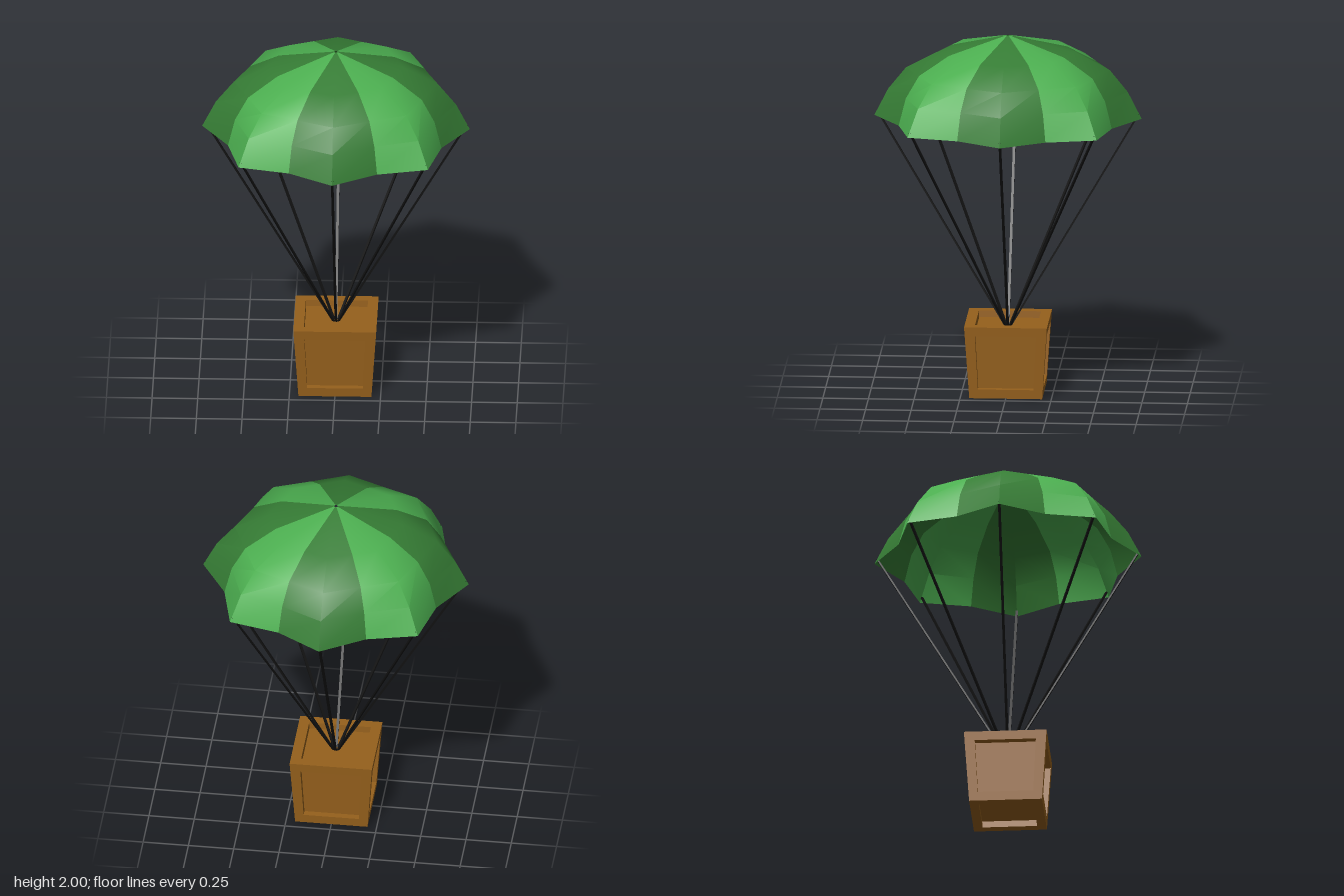
import * as THREE from 'three';
import { toCreasedNormals } from 'three/addons/utils/BufferGeometryUtils.js';

// Canopy rings from rim to apex vent: ridge radius, height, valley/ridge ratio
const RINGS = [
  [0.733, 1.54, 0.863],
  [0.657, 1.69, 0.9],
  [0.56, 1.81, 0.92],
  [0.37, 1.91, 0.924],
  [0.01, 2.0, 0.924],
];

// Flat list of triangles from a list of four-cornered faces
function quadGeometry(quads) {
  const pos = [];
  for (const [a, b, c, d] of quads) {
    for (const p of [a, b, c, a, c, d]) pos.push(p.x, p.y, p.z);
  }
  const geo = new THREE.BufferGeometry();
  geo.setAttribute('position', new THREE.Float32BufferAttribute(pos, 3));
  geo.computeVertexNormals();
  return geo;
}

// One gore: a ridge in the middle, a valley on each side
function goreGeometry(angle) {
  const rows = RINGS.map(([r, y, valley]) => [-1, 0, 1].map((side) => {
    const a = angle + side * Math.PI / 8;
    const radius = side ? r * valley : r;
    return new THREE.Vector3(radius * Math.sin(a), y, radius * Math.cos(a));
  }));
  const quads = [];
  for (let i = 0; i < rows.length - 1; i++) {
    for (let j = 0; j < 2; j++) {
      quads.push([rows[i][j], rows[i][j + 1], rows[i + 1][j + 1], rows[i + 1][j]]);
    }
  }
  return toCreasedNormals(quadGeometry(quads), 0.7);
}

// Tapered crate: every face is a frame around a sunken panel
function crateGeometry() {
  const height = 0.405, inset = 0.75, depth = 0.82;
  const turns = [[0, 0], [0, 1], [0, 2], [0, 3], [1, 0], [-1, 0]];
  const quads = [];
  for (const [tx, ty] of turns) {
    const turn = new THREE.Euler(tx * Math.PI / 2, ty * Math.PI / 2, 0);
    const square = (s, z) => [[-1, -1], [1, -1], [1, 1], [-1, 1]].map(([x, y]) => {
      const p = new THREE.Vector3(x * s, y * s, z).applyEuler(turn);
      const half = 0.2135 + 0.0135 * p.y;
      return new THREE.Vector3(p.x * half, (p.y + 1) * height / 2, p.z * half);
    });
    const outer = square(1, 1), lip = square(inset, 1), panel = square(inset, depth);
    for (let i = 0; i < 4; i++) {
      const j = (i + 1) % 4;
      quads.push([outer[i], outer[j], lip[j], lip[i]]);
      quads.push([lip[i], lip[j], panel[j], panel[i]]);
    }
    quads.push(panel);
  }
  return quadGeometry(quads);
}

export function createModel() {
  const model = new THREE.Group();
  model.name = 'parachuteCrate';

  const darkGreen = new THREE.MeshStandardMaterial({ color: 0x367d35, side: THREE.DoubleSide });
  const lightGreen = new THREE.MeshStandardMaterial({ color: 0x4caf50, side: THREE.DoubleSide });
  const black = new THREE.MeshStandardMaterial({ color: 0x111111 });
  const wood = new THREE.MeshStandardMaterial({ color: 0x95601c });

  const canopy = new THREE.Group();
  canopy.name = 'canopy';
  const ropes = new THREE.Group();
  ropes.name = 'ropes';
  model.add(canopy, ropes);

  // Flat cords run from the ridges down to the middle of the crate
  const foot = new THREE.Vector3(0, 0.355, 0.01);
  const head = new THREE.Vector3(0, 1.565, 0.716);
  const cord = new THREE.BoxGeometry(0.014, head.distanceTo(foot), 0.009);
  cord.rotateX(Math.atan2(head.z - foot.z, head.y - foot.y));
  cord.translate(0, (head.y + foot.y) / 2, (head.z + foot.z) / 2);

  for (let i = 0; i < 8; i++) {
    const angle = i * Math.PI / 4;
    const gore = new THREE.Mesh(goreGeometry(angle), i % 2 ? lightGreen : darkGreen);
    gore.name = 'canopyPanel';
    canopy.add(gore);

    const rope = new THREE.Mesh(cord, black);
    rope.name = 'rope';
    rope.rotation.y = angle;
    ropes.add(rope);
  }

  const crate = new THREE.Mesh(crateGeometry(), wood);
  crate.name = 'crate';
  model.add(crate);

  return model;
}
